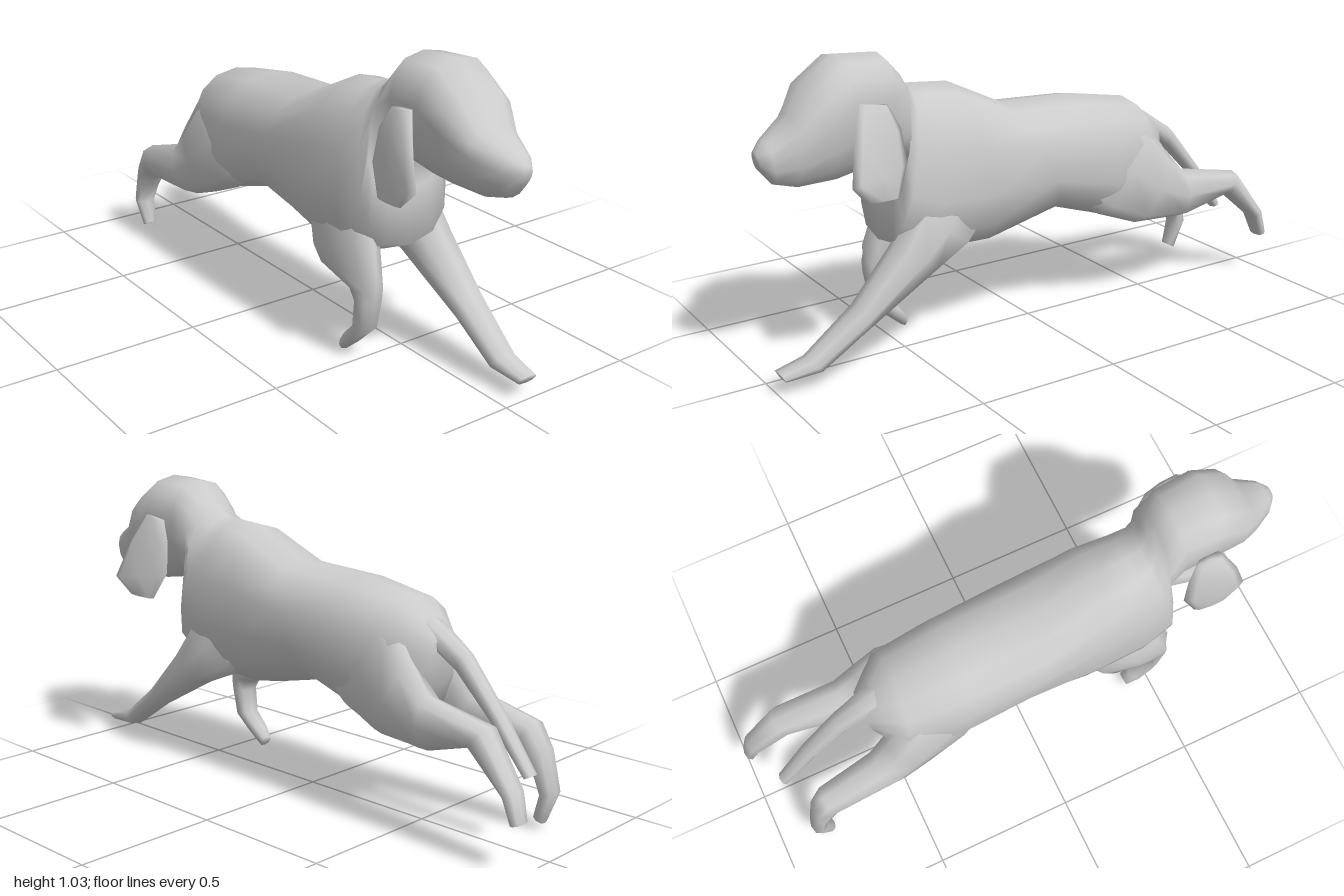
import * as THREE from 'three';

const material = new THREE.MeshStandardMaterial({ color: 0xcccccc });

// Loft rings through sections [zA, yA, zB, yB, x, halfWidth, xB = x, taper = 0]:
// A and B are the two ends of the ring in side profile, halfWidth is along x,
// taper widens the ring towards B (or towards A when negative).
function loft(name, sections, sides) {
  const pos = [], index = [];
  const soft = (v) => Math.sign(v) * Math.abs(v) ** 0.85;
  for (const [zA, yA, zB, yB, xA, w, xB = xA, taper = 0] of sections) {
    for (let i = 0; i < sides; i++) {
      const a = (i / sides) * Math.PI * 2;
      const t = (1 - soft(Math.cos(a))) / 2;
      const width = w * (1 + taper * (2 * t - 1));
      pos.push(xA + (xB - xA) * t + width * soft(Math.sin(a)), yA + (yB - yA) * t, zA + (zB - zA) * t);
    }
  }
  const last = sections.length - 1;
  for (let s = 0; s < last; s++) {
    for (let i = 0; i < sides; i++) {
      const j = (i + 1) % sides;
      const a = s * sides + i, b = s * sides + j;
      index.push(a, b, b + sides, a, b + sides, a + sides);
    }
  }
  // Close both ends with a fan around the centre
  for (const s of [0, last]) {
    const [zA, yA, zB, yB, xA, , xB = xA] = sections[s];
    const c = pos.length / 3;
    pos.push((xA + xB) / 2, (yA + yB) / 2, (zA + zB) / 2);
    for (let i = 0; i < sides; i++) {
      const a = s * sides + i, b = s * sides + (i + 1) % sides;
      if (s === 0) index.push(c, b, a);
      else index.push(c, a, b);
    }
  }
  // Turn the faces outward whichever way the sections run
  const p = (i) => new THREE.Vector3().fromArray(pos, index[i] * 3);
  let volume = 0;
  for (let i = 0; i < index.length; i += 3) volume += p(i).dot(p(i + 1).cross(p(i + 2)));
  if (volume < 0) index.reverse();

  const geometry = new THREE.BufferGeometry();
  geometry.setAttribute('position', new THREE.Float32BufferAttribute(pos, 3));
  geometry.setIndex(index);
  geometry.computeVertexNormals();
  const mesh = new THREE.Mesh(geometry, material);
  mesh.name = name;
  return mesh;
}

export function createModel() {
  const group = new THREE.Group();
  group.name = 'leapingDog';

  // Rump, belly, chest, neck, skull and muzzle in one skin
  group.add(loft('bodyAndHead', [
    [-0.56, 0.63, -0.54, 0.46, -0.03, 0.07],
    [-0.43, 0.735, -0.49, 0.35, -0.035, 0.17],
    [-0.20, 0.775, -0.33, 0.305, -0.035, 0.192],
    [0.09, 0.785, -0.08, 0.39, -0.035, 0.195],
    [0.30, 0.885, 0.20, 0.325, -0.035, 0.195, -0.035, 0.1],
    [0.41, 0.895, 0.44, 0.33, -0.035, 0.185, -0.035, 0.15],
    [0.46, 0.90, 0.57, 0.39, -0.03, 0.17, -0.03, 0.15],
    [0.49, 0.93, 0.555, 0.57, -0.015, 0.145, -0.03, 0.2],
    [0.52, 0.965, 0.52, 0.655, -0.005, 0.135, -0.01, 0.05],
    [0.57, 1.02, 0.60, 0.675, 0, 0.132, 0, -0.15],
    [0.72, 1.03, 0.68, 0.65, 0, 0.135, 0.01, -0.25],
    [0.83, 0.95, 0.75, 0.64, 0, 0.128, 0.02, -0.28],
    [0.88, 0.86, 0.88, 0.64, 0.005, 0.098, 0.025, -0.2],
    [0.97, 0.80, 0.95, 0.66, 0.02, 0.062, 0.025, -0.1],
    [1.0, 0.77, 0.99, 0.71, 0.025, 0.03],
  ], 14));

  // Outstretched front leg, growing out of the shoulder
  group.add(loft('leftFrontLeg', [
    [0.40, 0.70, 0.15, 0.50, 0.06, 0.05],
    [0.51, 0.52, 0.30, 0.36, 0.08, 0.078],
    [0.58, 0.40, 0.43, 0.305, 0.09, 0.078],
    [0.72, 0.235, 0.70, 0.155, 0.10, 0.062],
    [0.90, 0.10, 0.855, 0.05, 0.095, 0.047],
    [0.995, 0.075, 0.98, 0.045, 0.095, 0.038],
  ], 8));

  // Tucked front leg
  group.add(loft('rightFrontLeg', [
    [0.44, 0.64, 0.15, 0.48, -0.12, 0.05],
    [0.53, 0.44, 0.25, 0.32, -0.15, 0.07],
    [0.565, 0.33, 0.30, 0.285, -0.16, 0.062],
    [0.565, 0.26, 0.46, 0.25, -0.16, 0.05],
    [0.56, 0.22, 0.487, 0.21, -0.16, 0.047],
    [0.54, 0.11, 0.475, 0.12, -0.16, 0.042],
    [0.48, 0.05, 0.43, 0.07, -0.165, 0.037],
    [0.42, 0.0, 0.405, 0.035, -0.165, 0.025],
  ], 8));

  // Hind legs kicked back, thighs blending into the hips
  group.add(loft('leftHindLeg', [
    [-0.34, 0.70, -0.06, 0.48, 0.06, 0.05],
    [-0.46, 0.645, -0.24, 0.355, 0.085, 0.073],
    [-0.53, 0.55, -0.40, 0.295, 0.095, 0.073],
    [-0.60, 0.465, -0.60, 0.285, 0.10, 0.068],
    [-0.845, 0.42, -0.79, 0.345, 0.115, 0.057],
    [-0.97, 0.25, -0.925, 0.23, 0.13, 0.043],
    [-0.995, 0.16, -0.957, 0.15, 0.135, 0.033],
  ], 8));
  group.add(loft('rightHindLeg', [
    [-0.34, 0.70, -0.06, 0.48, -0.13, 0.05],
    [-0.46, 0.63, -0.24, 0.355, -0.155, 0.073],
    [-0.53, 0.51, -0.38, 0.295, -0.167, 0.073],
    [-0.60, 0.42, -0.49, 0.255, -0.178, 0.068],
    [-0.80, 0.36, -0.76, 0.255, -0.195, 0.057],
    [-0.845, 0.28, -0.82, 0.165, -0.2, 0.05],
    [-0.88, 0.13, -0.825, 0.12, -0.21, 0.04],
    [-0.84, 0.02, -0.80, 0.04, -0.21, 0.025],
  ], 8));

  // Drooping tail
  group.add(loft('tail', [
    [-0.40, 0.73, -0.46, 0.56, -0.03, 0.08],
    [-0.53, 0.665, -0.55, 0.57, -0.03, 0.05],
    [-0.65, 0.585, -0.62, 0.52, -0.03, 0.038],
    [-0.79, 0.415, -0.75, 0.39, -0.03, 0.032],
    [-0.91, 0.245, -0.88, 0.23, -0.035, 0.026],
  ], 8));

  // Flapping ears: the left swings out, the right hangs closer
  group.add(loft('leftEar', [
    [0.705, 0.90, 0.61, 0.885, 0.145, 0.018],
    [0.75, 0.80, 0.575, 0.81, 0.19, 0.022, 0.16],
    [0.785, 0.67, 0.565, 0.70, 0.237, 0.018, 0.175],
    [0.73, 0.61, 0.61, 0.605, 0.215, 0.012, 0.205],
  ], 8));
  group.add(loft('rightEar', [
    [0.70, 0.89, 0.61, 0.88, -0.15, 0.018],
    [0.75, 0.80, 0.575, 0.81, -0.185, 0.024, -0.17],
    [0.79, 0.67, 0.565, 0.70, -0.20, 0.022, -0.185],
    [0.73, 0.61, 0.61, 0.605, -0.208, 0.012, -0.2],
  ], 8));

  return group;
}
